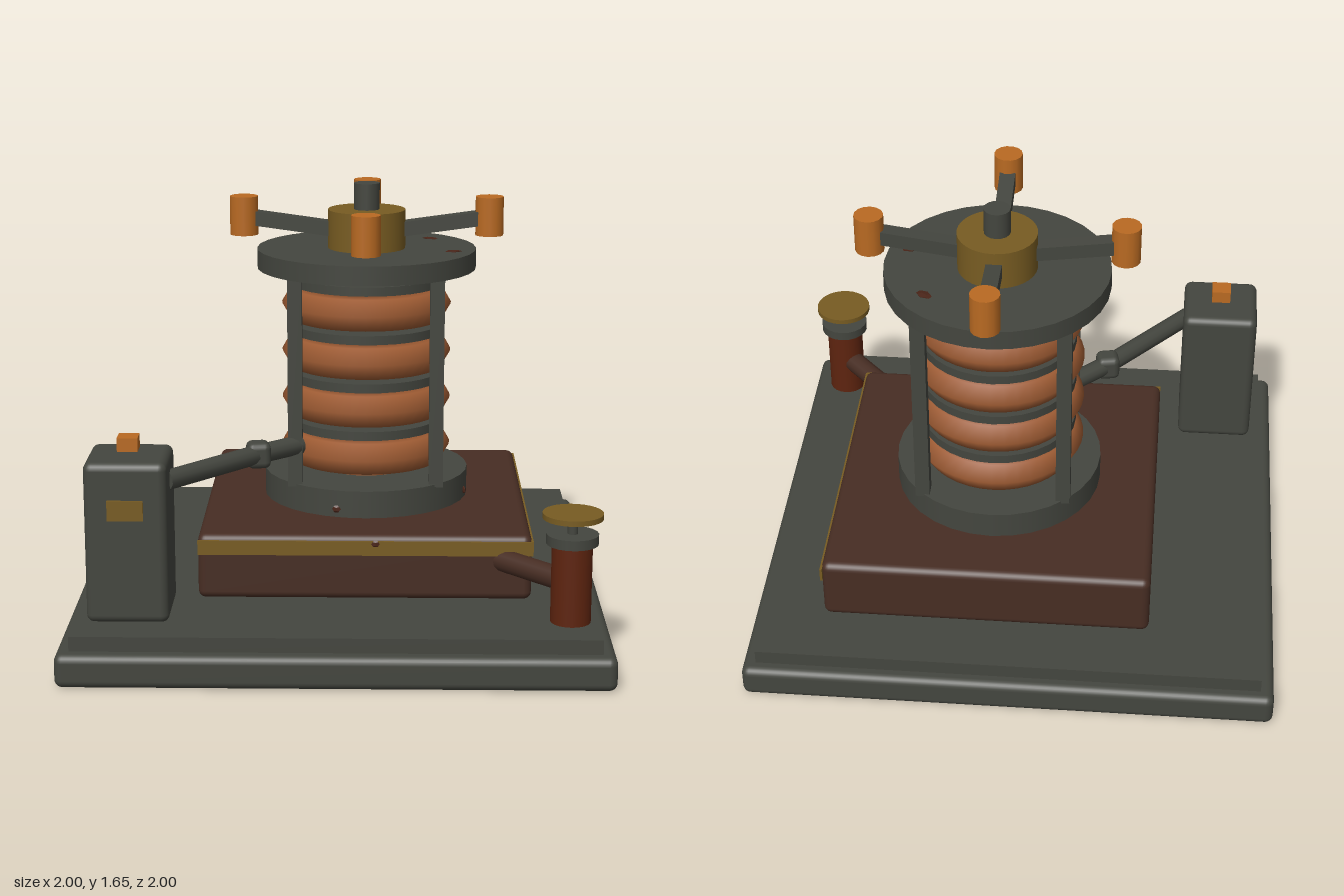
import * as THREE from 'three';
import { RoundedBoxGeometry } from 'three/addons/geometries/RoundedBoxGeometry.js';

const material = (name, color) => {
  const m = new THREE.MeshStandardMaterial({ color });
  m.name = name;
  return m;
};

export function createModel() {
  const iron = material('dark iron', 0x44463f);
  const brown = material('dark brown', 0x472d23);
  const copper = material('coil copper', 0x9c5a32);
  const orange = material('bright orange copper', 0xb96a22);
  const brass = material('aged brass', 0x785c22);
  const redBrown = material('red brown', 0x5e240f);
  const rust = material('rust', 0x4a2519);

  const model = new THREE.Group();
  model.name = 'coilMachine';

  const add = (parent, name, geometry, mat, x = 0, y = 0, z = 0) => {
    const mesh = new THREE.Mesh(geometry, mat);
    mesh.name = name;
    mesh.position.set(x, y, z);
    parent.add(mesh);
    return mesh;
  };
  // Box and cylinder placed by their bottom and top heights
  const box = (parent, name, mat, w, d, y0, y1, x = 0, z = 0, r = 0) =>
    add(parent, name, r ? new RoundedBoxGeometry(w, y1 - y0, d, 3, r)
      : new THREE.BoxGeometry(w, y1 - y0, d), mat, x, (y0 + y1) / 2, z);
  const cyl = (parent, name, mat, r, y0, y1, x = 0, z = 0, sides = 32) =>
    add(parent, name, new THREE.CylinderGeometry(r, r, y1 - y0, sides), mat, x, (y0 + y1) / 2, z);
  // Straight round pipe between two points
  const pipe = (parent, name, mat, r, a, b) => {
    const from = new THREE.Vector3(...a), dir = new THREE.Vector3(...b).sub(from);
    const mesh = add(parent, name, new THREE.CylinderGeometry(r, r, dir.length(), 12), mat);
    mesh.position.copy(from).addScaledVector(dir, 0.5);
    mesh.quaternion.setFromUnitVectors(new THREE.Vector3(0, 1, 0), dir.normalize());
    return mesh;
  };

  // Stepped base and plinth
  box(model, 'base', iron, 2, 2, 0, 0.125, 0, 0, 0.03);
  box(model, 'baseStep', iron, 1.9, 1.9, 0.12, 0.18);
  box(model, 'plinth', brown, 1.245, 1.245, 0.175, 0.425, 0.1, -0.1, 0.03);
  box(model, 'frontTrim', brass, 1.245, 0.009, 0.35, 0.405, 0.1, 0.523);
  box(model, 'sideTrim', brass, 0.009, 1.245, 0.35, 0.405, 0.723, -0.1);

  // Coil tower
  const tower = new THREE.Group();
  tower.name = 'coilTower';
  tower.position.set(0.1, 0, -0.1);
  model.add(tower);
  cyl(tower, 'drumBase', iron, 0.4, 0.42, 0.53);
  cyl(tower, 'core', copper, 0.175, 0.53, 1.33);
  for (let i = 0; i < 4; i++) {
    const y = 0.628 + i * 0.1875;
    add(tower, 'coil', new THREE.TorusGeometry(0.26, 0.07, 6, 40), copper, 0, y).rotation.x = Math.PI / 2;
    cyl(tower, 'spacerRing', iron, 0.3, y + 0.075, y + 0.11);
  }
  for (const sx of [-1, 1]) for (const sz of [-1, 1])
    box(tower, 'post', iron, 0.055, 0.055, 0.52, 1.34, sx * 0.27, sz * 0.27);
  cyl(tower, 'topPlate', iron, 0.425, 1.328, 1.403);
  cyl(tower, 'hub', brass, 0.15, 1.4, 1.553);
  cyl(tower, 'hubPin', iron, 0.05, 1.5, 1.655, 0, 0, 16);

  // Four raised arms with end terminals
  for (let i = 0; i < 4; i++) {
    const arm = new THREE.Group();
    arm.name = 'armAssembly';
    arm.rotation.y = i * Math.PI / 2;
    tower.add(arm);
    add(arm, 'arm', new THREE.BoxGeometry(0.36, 0.055, 0.06), iron, 0.28, 1.497, 0).rotation.z = 0.137;
    cyl(arm, 'terminal', orange, 0.055, 1.453, 1.603, 0.475, 0, 14);
  }

  // Control cabinet
  const cabinet = new THREE.Group();
  cabinet.name = 'controlCabinet';
  cabinet.position.set(-0.755, 0, 0.65);
  model.add(cabinet);
  box(cabinet, 'cabinetBody', iron, 0.3, 0.3, 0.175, 0.775, 0, 0, 0.03);
  box(cabinet, 'button', orange, 0.075, 0.075, 0.79, 0.84);
  box(cabinet, 'namePlate', brass, 0.13, 0.009, 0.565, 0.64, 0, 0.153);

  // Conduit from cabinet to tower
  pipe(model, 'conduit', iron, 0.037, [-0.62, 0.677, 0.665], [-0.305, 0.677, 0.3]);
  pipe(model, 'conduitEnd', iron, 0.037, [-0.305, 0.677, 0.3], [-0.155, 0.677, 0.16]);
  add(model, 'conduitJoint', new RoundedBoxGeometry(0.09, 0.1, 0.09, 2, 0.025), iron,
    -0.305, 0.677, 0.3).rotation.y = 0.2;

  // Valve column and its feed pipe
  const valve = new THREE.Group();
  valve.name = 'valve';
  valve.position.set(0.848, 0, 0.75);
  model.add(valve);
  cyl(valve, 'valveColumn', redBrown, 0.074, 0.175, 0.48, 0, 0, 20);
  cyl(valve, 'valveCollar', iron, 0.095, 0.475, 0.512, 0, 0, 20);
  cyl(valve, 'valveStem', iron, 0.019, 0.51, 0.575, 0, 0, 12);
  cyl(valve, 'valveWheel', brass, 0.11, 0.57, 0.59, 0, 0, 28);
  pipe(model, 'feedPipe', brown, 0.043, [0.595, 0.327, 0.48], [0.848, 0.327, 0.75]);

  // Small rust patches, flattened along the surface they sit on
  const patches = [
    [0.35, 1.403, -0.31, 0.033, 0.005, 0.023, -0.6], [0.435, 1.403, -0.01, 0.033, 0.005, 0.024, 0.3],
    [-0.01, 0.457, 0.285, 0.018, 0.015, 0.006, -0.28], [0.14, 0.395, 0.526, 0.017, 0.015, 0.005, 0],
    [0.485, 0.457, 0.012, 0.006, 0.015, 0.02, 0.28],
  ];
  for (const [x, y, z, sx, sy, sz, turn] of patches) {
    const patch = add(model, 'rustPatch', new THREE.DodecahedronGeometry(1), rust, x, y, z);
    patch.scale.set(sx, sy, sz);
    patch.rotation.y = turn;
  }
  return model;
}
